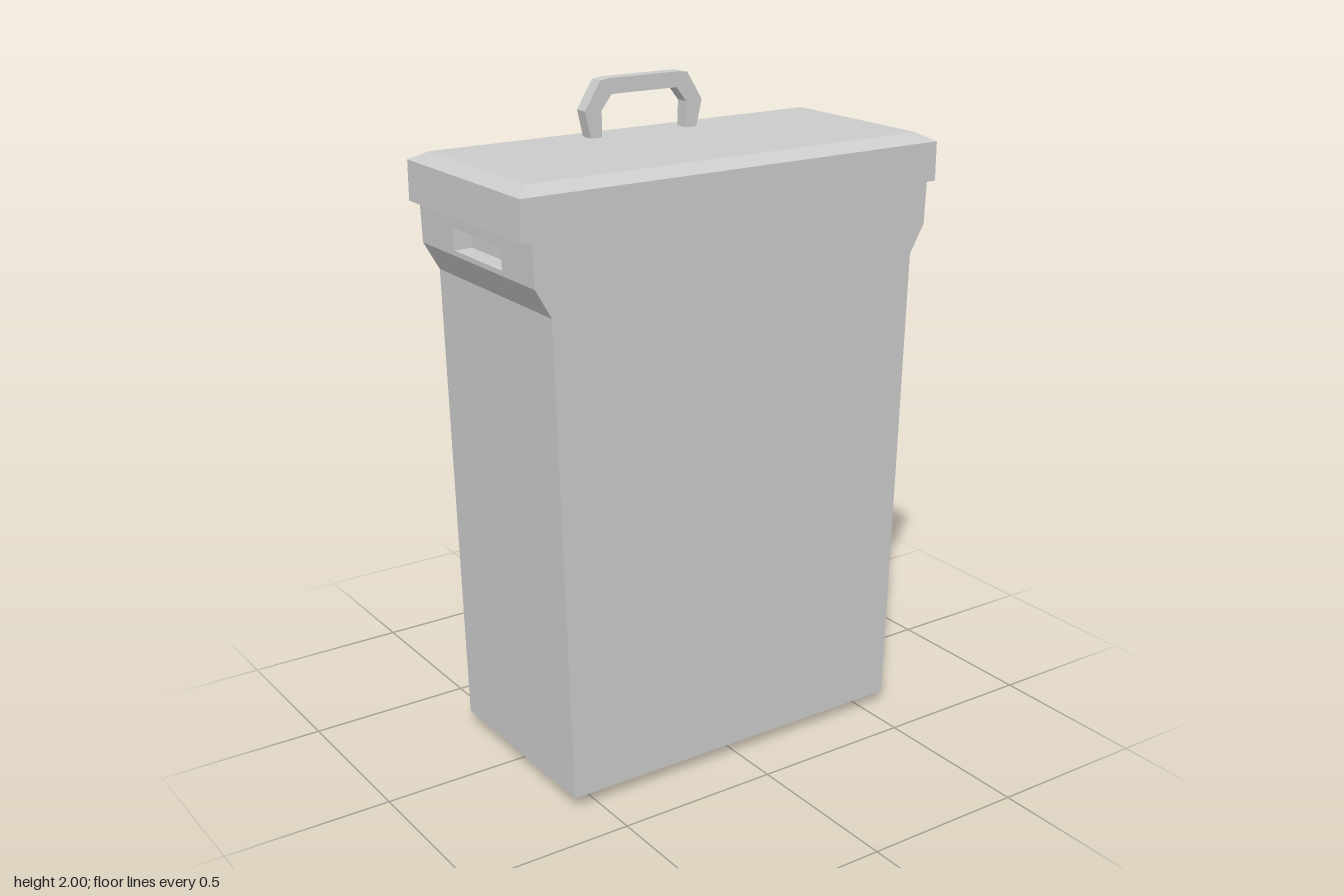
import * as THREE from 'three';

const FRONT = 0.345, BACK = -0.285;
const grey = () => new THREE.MeshStandardMaterial({ color: 0xcccccc, flatShading: true, side: THREE.DoubleSide });

// Half outline of the bin body: [half width, height]
const PROFILE = [[0.577, 0.04], [0.617, 1.48], [0.666, 1.565], [0.671, 1.69]];

function mesh(name, geometry) {
  const m = new THREE.Mesh(geometry, grey());
  m.name = name;
  return m;
}

// Flat-faced geometry from four-cornered faces
function quadGeometry(quads) {
  const pos = [];
  for (const [a, b, c, d] of quads) pos.push(...a, ...b, ...c, ...a, ...c, ...d);
  const g = new THREE.BufferGeometry();
  g.setAttribute('position', new THREE.Float32BufferAttribute(pos, 3));
  g.computeVertexNormals();
  return g;
}

// Outline mirrored about x = 0
function mirroredShape(half) {
  const left = half.map(([x, y]) => [-x, y]).reverse();
  return new THREE.Shape([...half, ...left].map(([x, y]) => new THREE.Vector2(x, y)));
}

// Side wall with a recessed grip; s = 1 or -1 picks the side
function sideWall(s) {
  const quads = [];
  const add = (...q) => {
    const p = q.map(([x, y, z]) => [s * x, y, z]);
    quads.push(s > 0 ? p : p.reverse());
  };
  const strip = (x0, y0, x1, y1, zf, zb) => add([x0, y0, zf], [x0, y0, zb], [x1, y1, zb], [x1, y1, zf]);
  for (let i = 0; i < 2; i++) strip(...PROFILE[i], ...PROFILE[i + 1], FRONT, BACK);

  // upper band around the grip
  const [[xa, ya], [xb, yb]] = PROFILE.slice(2);
  const xAt = y => xa + (xb - xa) * (y - ya) / (yb - ya);
  const y0 = 1.58, y1 = 1.645, zf = 0.175, zb = -0.095, x0 = xAt(y0), x1 = xAt(y1), xi = 0.61;
  strip(xa, ya, x0, y0, FRONT, BACK);
  strip(x1, y1, xb, yb, FRONT, BACK);
  strip(x0, y0, x1, y1, FRONT, zf);
  strip(x0, y0, x1, y1, zb, BACK);

  // grip pocket: back, floor, ceiling and two ends
  strip(xi, y0, xi, y1, zf, zb);
  add([x0, y0, zf], [x0, y0, zb], [xi, y0, zb], [xi, y0, zf]);
  add([xi, y1, zf], [xi, y1, zb], [x1, y1, zb], [x1, y1, zf]);
  add([xi, y0, zf], [xi, y1, zf], [x1, y1, zf], [x0, y0, zf]);
  add([x0, y0, zb], [x1, y1, zb], [xi, y1, zb], [xi, y0, zb]);
  return mesh(s > 0 ? 'leftWall' : 'rightWall', quadGeometry(quads));
}

// Bevelled lid from stacked rectangles
function lid() {
  const ring = (y, inset) => {
    const x = 0.703 - inset, f = FRONT - inset, b = BACK + inset;
    return [[-x, y, f], [x, y, f], [x, y, b], [-x, y, b]];
  };
  const rings = [ring(1.69, 0), ring(1.807, 0), ring(1.832, 0.045)];
  const quads = [[...rings[0]].reverse(), rings[2]];
  for (let r = 0; r < 2; r++) {
    for (let i = 0; i < 4; i++) {
      const j = (i + 1) % 4;
      quads.push([rings[r][i], rings[r][j], rings[r + 1][j], rings[r + 1][i]]);
    }
  }
  return mesh('lid', quadGeometry(quads));
}

export function createModel() {
  const model = new THREE.Group();
  model.name = 'wheeledBin';

  // Body shell, open underneath
  const body = new THREE.Group();
  body.name = 'body';
  const frontWall = mesh('frontWall', new THREE.ShapeGeometry(mirroredShape(PROFILE)));
  frontWall.position.z = FRONT;
  const backWall = mesh('backWall', new THREE.ShapeGeometry(mirroredShape(PROFILE)));
  backWall.rotation.y = Math.PI;
  backWall.position.z = BACK;
  body.add(frontWall, backWall, sideWall(1), sideWall(-1));

  // Angular carrying handle on the lid
  const outer = [[0.185, 1.83], [0.204, 1.912], [0.152, 1.996], [0.12, 2]];
  const inner = [[0.113, 1.954], [0.148, 1.91], [0.148, 1.83]];
  const left = [...outer, ...inner.map(([x, y]) => [-x, y])];
  const arch = [
    ...outer,
    ...outer.map(([x, y]) => [-x, y]).reverse(),
    ...[...inner].reverse().map(([x, y]) => [-x, y]),
    ...inner,
  ];
  const handle = mesh('lidHandle', new THREE.ExtrudeGeometry(
    new THREE.Shape(arch.map(([x, y]) => new THREE.Vector2(x, y))), { depth: 0.044, bevelEnabled: false }));
  handle.position.z = -0.19;

  // Single wheel at the lower back corner
  const wheel = mesh('wheel', new THREE.CylinderGeometry(0.154, 0.154, 0.066, 24).rotateZ(Math.PI / 2));
  wheel.position.set(0.563, 0.156, -0.191);

  model.add(body, lid(), handle, wheel);
  return model;
}
